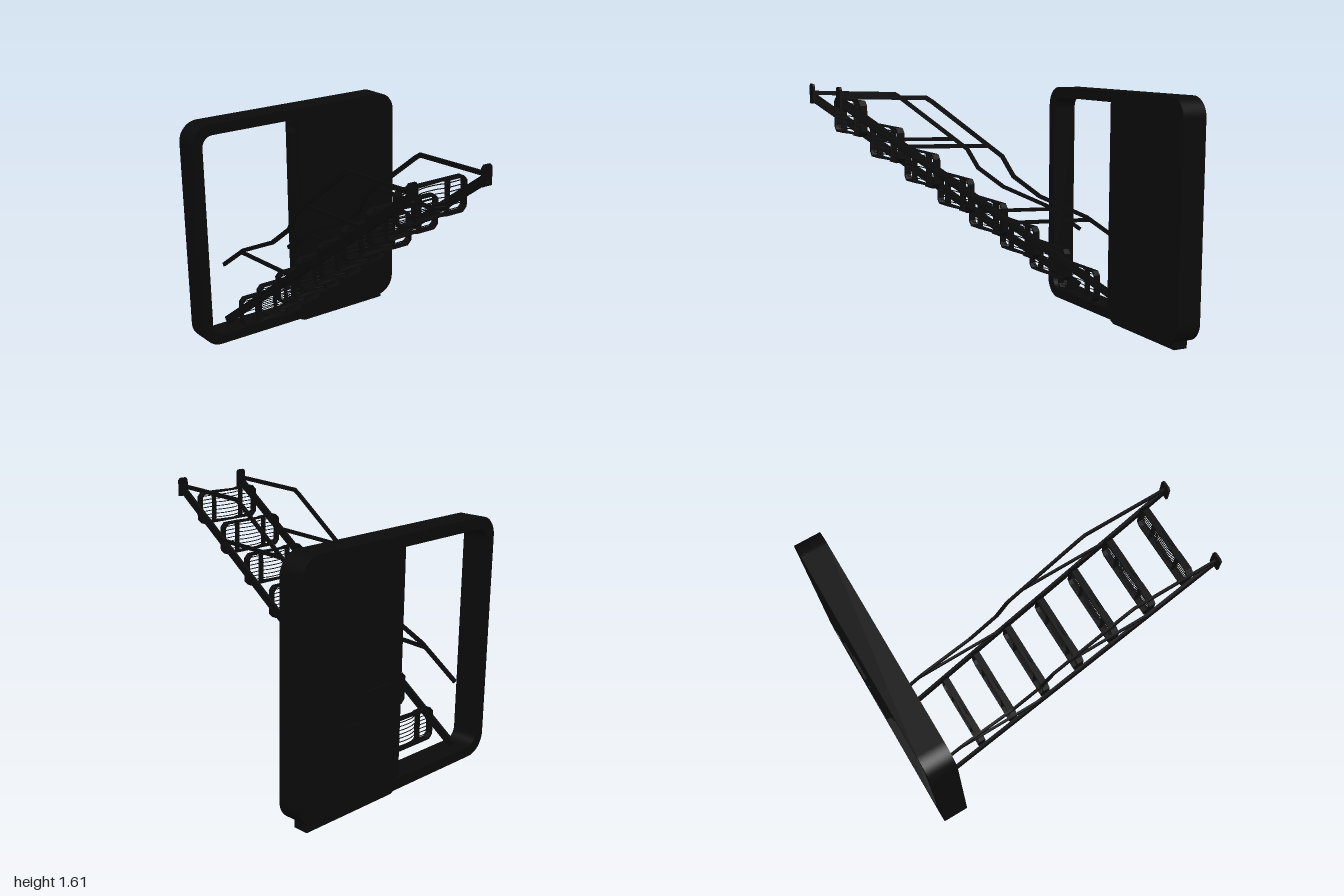
import * as THREE from 'three';

const black = new THREE.MeshStandardMaterial({ color: 0x0a0a0a });
black.name = 'black';

function add(parent, name, geometry, x = 0, y = 0, z = 0) {
  const mesh = new THREE.Mesh(geometry, black);
  mesh.name = name;
  mesh.position.set(x, y, z);
  parent.add(mesh);
  return mesh;
}

function box(parent, name, x0, x1, y0, y1, z0, z1) {
  return add(parent, name, new THREE.BoxGeometry(x1 - x0, y1 - y0, z1 - z0),
    (x0 + x1) / 2, (y0 + y1) / 2, (z0 + z1) / 2);
}

// Flat bar between two [z, y] points, lying in a plane of constant x
function beam(parent, name, x, [z0, y0], [z1, y1], width, height, overlap = 0) {
  const length = Math.hypot(z1 - z0, y1 - y0) + overlap;
  const mesh = add(parent, name, new THREE.BoxGeometry(width, height, length), x, (y0 + y1) / 2, (z0 + z1) / 2);
  mesh.rotation.x = -Math.atan2(y1 - y0, z1 - z0);
  return mesh;
}

// Rectangle with corner radii given as [bottom left, bottom right, top right, top left]
function roundedRect(target, x0, x1, y0, y1, [bl, br, tr, tl]) {
  const h = Math.PI / 2;
  target.moveTo(x0 + bl, y0);
  target.lineTo(x1 - br, y0);
  if (br) target.absarc(x1 - br, y0 + br, br, -h, 0);
  target.lineTo(x1, y1 - tr);
  if (tr) target.absarc(x1 - tr, y1 - tr, tr, 0, h);
  target.lineTo(x0 + tl, y1);
  if (tl) target.absarc(x0 + tl, y1 - tl, tl, h, 2 * h);
  target.lineTo(x0, y0 + bl);
  if (bl) target.absarc(x0 + bl, y0 + bl, bl, 2 * h, 3 * h);
  return target;
}

function extrude(shape, depth) {
  return new THREE.ExtrudeGeometry(shape, { depth, bevelEnabled: false, curveSegments: 10 });
}

// Doorway frame with a fixed panel on one half
function makeDoorway() {
  const g = new THREE.Group();
  g.name = 'doorway';
  const outer = roundedRect(new THREE.Shape(), -0.795, 0.795, 0.04, 1.55, [0.13, 0.13, 0.13, 0.13]);
  outer.holes.push(roundedRect(new THREE.Path(), -0.725, 0.725, 0.105, 1.48, [0.075, 0.075, 0.075, 0.075]));
  add(g, 'doorFrame', extrude(outer, 0.165), 0, 0, -0.99);
  box(g, 'fixedPanel', 0, 0.74, 0.09, 1.5, -0.985, -0.83);

  // Sliding door stored inside the panel, with its foot below the frame
  const door = new THREE.Shape([
    [0.03, 0.002], [0.715, 0], [0.715, 1.42], [0.01, 1.42], [-0.018, 1.37],
    [-0.018, 0.05], [-0.005, 0.018]].map(([x, y]) => new THREE.Vector2(x, y)));
  add(g, 'slidingDoor', extrude(door, 0.095), 0, 0, -0.955);

  // Shallow plates on the back face
  box(g, 'backPlate', 0.12, 0.29, 0.23, 0.52, -0.995, -0.984);
  box(g, 'backPlate', 0.12, 0.29, 0.57, 0.72, -1, -0.984);
  box(g, 'backPlate', 0.32, 0.46, 0.23, 0.55, -0.995, -0.984);
  return g;
}

// Edge loop of a step, with extra points where the front edge is cut back
function stepLoop(w, h, c) {
  const cuts = [-0.1, -0.05, 0.05, 0.1];
  return [
    [-w + c, -h], ...cuts.map(x => [x, -h]), [w - c, -h], [w, -h + c], [w, h - c],
    [w - c, h], ...cuts.slice().reverse().map(x => [x, h]), [-w + c, h], [-w, h - c], [-w, -h + c],
  ].map(([x, y]) => new THREE.Vector2(x, y));
}

const cutDepth = x => 0.022 * THREE.MathUtils.clamp((0.1 - Math.abs(x)) / 0.05, 0, 1);

function stepGeometry() {
  const shape = new THREE.Shape(stepLoop(0.243, 0.105, 0.028));
  shape.holes.push(new THREE.Path(stepLoop(0.231, 0.094, 0.024)));
  const geo = extrude(shape, 0.042);
  geo.translate(0, 0, -0.021);
  const p = geo.attributes.position;
  for (let i = 0; i < p.count; i++) {
    if (p.getZ(i) > 0) p.setZ(i, p.getZ(i) - cutDepth(p.getX(i)));
  }
  geo.computeVertexNormals();
  return geo;
}

// Thin wire that follows the waist of the step
function wireGeometry() {
  const points = [-0.235, -0.1, -0.05, 0.05, 0.1, 0.235].map(x =>
    new THREE.Vector3(x, 0, 0.004 - cutDepth(x) * 0.6));
  return new THREE.TubeGeometry(new THREE.CatmullRomCurve3(points), 16, 0.003, 5);
}

function makeLadder() {
  const g = new THREE.Group();
  g.name = 'ladder';
  const handrail = [[0.99, 1.555], [0.45, 1.535], [0.41, 1.51], [-0.06, 1.16], [-0.14, 1.03],
    [-0.33, 0.89], [-0.68, 0.73], [-0.94, 0.55]];

  for (const x of [-0.552, -0.037]) {
    const side = new THREE.Group();
    side.name = 'ladderSide';
    beam(side, 'sideRail', x, [0.99, 1.53], [-0.94, 0.14], 0.018, 0.052);
    for (let i = 1; i < handrail.length; i++) {
      beam(side, 'handrail', x, handrail[i - 1], handrail[i], 0.014, 0.026, 0.008);
    }
    beam(side, 'handrailStrut', x, [0.6, 1.25], [0.04, 1.23], 0.013, 0.024);
    beam(side, 'handrailStrut', x, [-0.1, 0.735], [-0.7, 0.71], 0.013, 0.024);

    // End foot with clipped top corners
    const foot = new THREE.Shape([
      [-0.035, 1.49], [0.035, 1.49], [0.035, 1.595], [0.022, 1.61], [-0.022, 1.61], [-0.035, 1.595],
    ].map(([a, b]) => new THREE.Vector2(a, b)));
    add(side, 'endFoot', extrude(foot, 0.014), x, 0, 0.986);
    g.add(side);
  }

  // Eight wire steps between the rails
  const rim = stepGeometry();
  const wire = wireGeometry();
  const rib = new THREE.BoxGeometry(0.007, 0.2, 0.038);
  for (let i = 0; i < 8; i++) {
    const step = new THREE.Group();
    step.name = 'step';
    step.position.set(-0.293, 1.42 - i * 0.1675, 0.84 - i * 0.2314);
    add(step, 'stepRim', rim);
    for (const s of [-1, 1]) add(step, 'stepRib', rib, s * 0.117);
    for (let j = -3; j <= 3; j++) add(step, 'stepWire', wire, 0, j * 0.0255);
    g.add(step);
  }
  return g;
}

export function createModel() {
  const model = new THREE.Group();
  model.name = 'doorwayWithBoardingLadder';
  model.add(makeDoorway(), makeLadder());
  return model;
}
